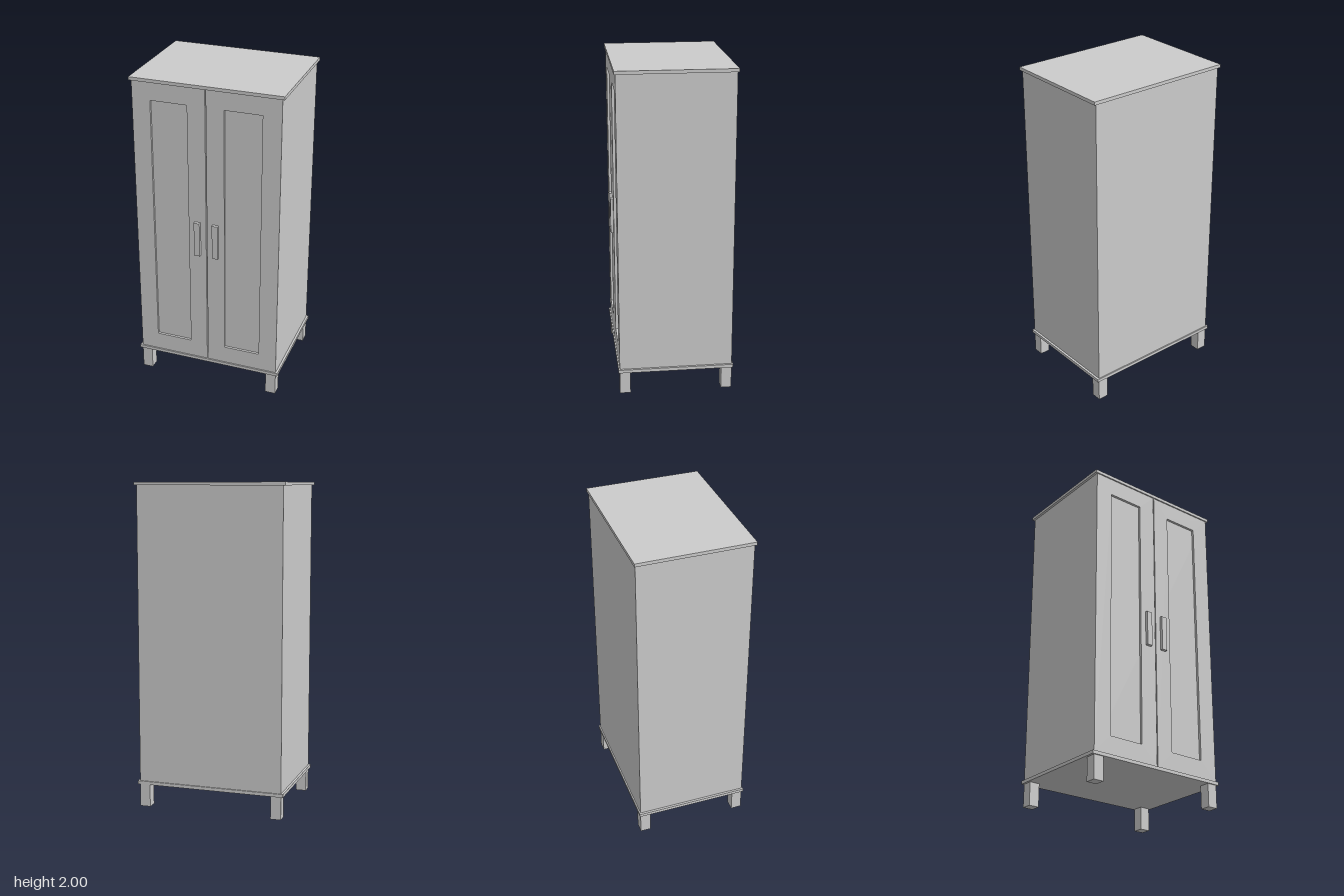
import * as THREE from 'three';

export function createModel() {
  const wardrobe = new THREE.Group();
  wardrobe.name = 'wardrobe';
  const grey = new THREE.MeshStandardMaterial({ color: 0xcccccc, flatShading: true });

  function add(name, geometry) {
    const mesh = new THREE.Mesh(geometry, grey);
    mesh.name = name;
    wardrobe.add(mesh);
    return mesh;
  }

  // Box given by its extents on each axis
  function box(name, [x0, x1], [y0, y1], [z0, z1]) {
    const mesh = add(name, new THREE.BoxGeometry(x1 - x0, y1 - y0, z1 - z0));
    mesh.position.set((x0 + x1) / 2, (y0 + y1) / 2, (z0 + z1) / 2);
    return mesh;
  }

  const back = -0.35, front = 0.341, doorDepth = 0.015;
  const halfWidth = 0.453, bottom = 0.162, top = 1.98;

  // Carcass with overhanging top and base boards
  box('carcass', [-halfWidth, halfWidth], [bottom, top], [back, front - doorDepth]);
  box('topBoard', [-0.467, 0.467], [top, 2], [-0.358, 0.349]);
  box('baseBoard', [-0.467, 0.467], [0.142, bottom], [-0.358, 0.349]);

  // Square legs at the four corners
  for (const x of [-halfWidth, halfWidth - 0.065]) {
    for (const z of [back, front - 0.065]) {
      const name = (z > 0 ? 'front' : 'back') + (x > 0 ? 'Left' : 'Right') + 'Leg';
      box(name, [x, x + 0.065], [0, 0.142], [z, z + 0.065]);
    }
  }

  // Counter-clockwise rectangle, used for door outlines and panel openings
  function rectangle(PathType, x0, x1, y0, y1) {
    return new PathType([[x0, y0], [x1, y0], [x1, y1], [x0, y1]].map(p => new THREE.Vector2(...p)));
  }

  for (const side of [1, -1]) {
    const label = side > 0 ? 'left' : 'right';
    const span = (a, b) => (side > 0 ? [a, b] : [-b, -a]);

    // Door frame; its opening leaves a sunken panel
    const frame = rectangle(THREE.Shape, ...span(0.003, halfWidth), bottom, top);
    frame.holes.push(rectangle(THREE.Path, ...span(0.113, 0.34), 0.274, 1.87));
    const door = add(label + 'Door', new THREE.ExtrudeGeometry(frame, { depth: doorDepth, bevelEnabled: false }));
    door.position.z = front - doorDepth;

    // Handle, narrowing slightly toward its front face
    const handle = box(label + 'Handle', span(0.038, 0.077), [0.91, 1.134], [front, 0.358]);
    const corners = handle.geometry.attributes.position;
    for (let i = 0; i < corners.count; i++) {
      if (corners.getZ(i) > 0) {
        corners.setX(i, corners.getX(i) * 0.92);
        corners.setY(i, corners.getY(i) * 0.985);
      }
    }
    handle.geometry.computeVertexNormals();
  }

  return wardrobe;
}
